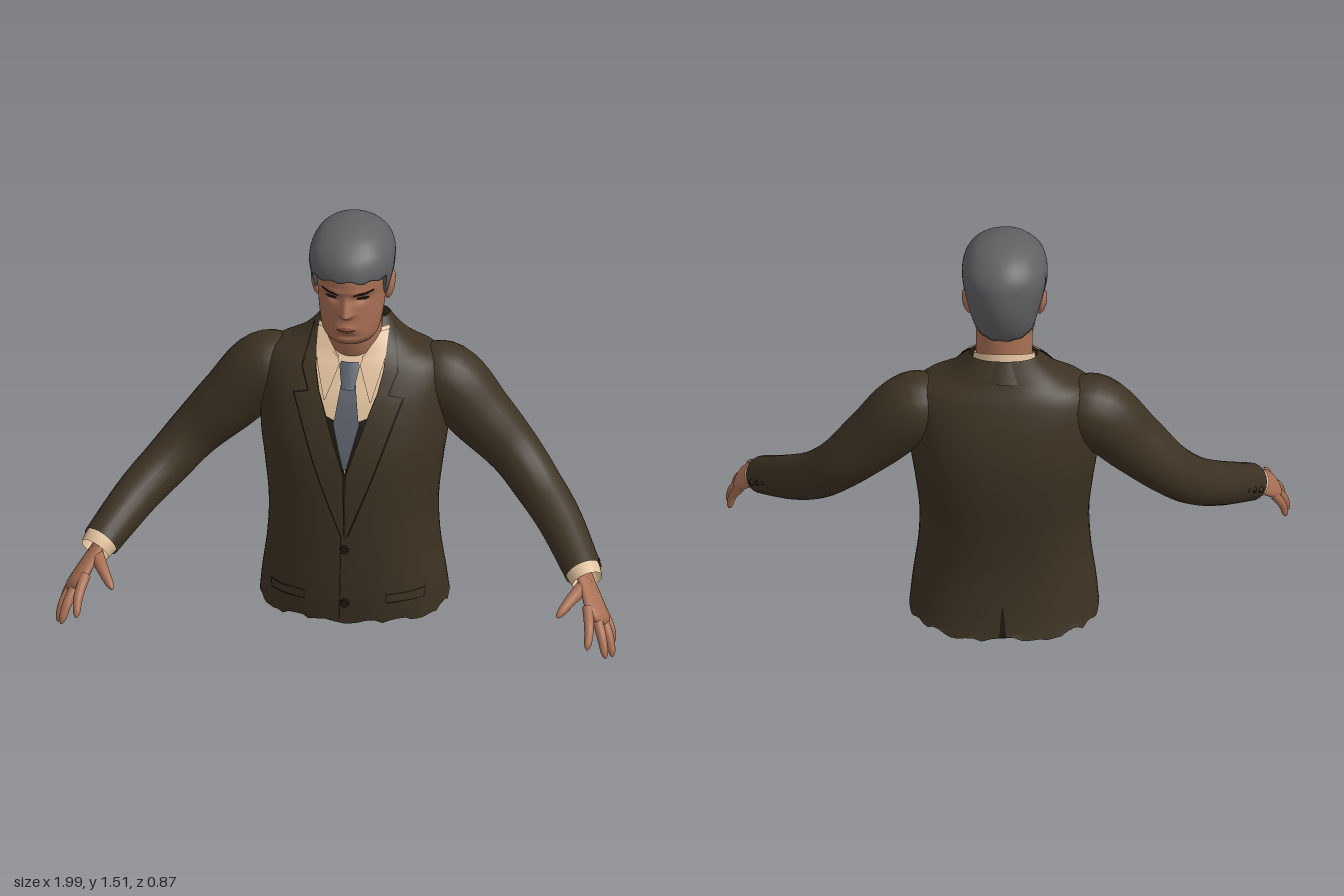
import * as THREE from 'three';

const V = (p) => new THREE.Vector3(...p);
const colour = (name, color, side = THREE.FrontSide) => {
  const m = new THREE.MeshStandardMaterial({ color, side });
  m.name = name;
  return m;
};

// Smooth lookup in rows keyed by their first number
function sample(rows, y) {
  let i = 0;
  while (i < rows.length - 2 && y > rows[i + 1][0]) i++;
  const p = rows[i], q = rows[i + 1], o = rows[Math.max(i - 1, 0)], r = rows[Math.min(i + 2, rows.length - 1)];
  const h = q[0] - p[0], t = THREE.MathUtils.clamp((y - p[0]) / h, 0, 1);
  return p.slice(1).map((_, k) => {
    k++;
    const m0 = (q[k] - o[k]) / (q[0] - o[0]) * h, m1 = (r[k] - p[k]) / (r[0] - p[0]) * h;
    return (2 * t ** 3 - 3 * t * t + 1) * p[k] + (t ** 3 - 2 * t * t + t) * m0
      + (3 * t * t - 2 * t ** 3) * q[k] + (t ** 3 - t * t) * m1;
  });
}
function linear(rows, y) {
  let i = 0;
  while (i < rows.length - 2 && y > rows[i + 1][0]) i++;
  const t = THREE.MathUtils.clamp((y - rows[i][0]) / (rows[i + 1][0] - rows[i][0]), 0, 1);
  return rows[i].slice(1).map((a, k) => a + (rows[i + 1][k + 1] - a) * t);
}

// Surface from a rule fn(u, v); wrap joins the last column to the first
function grid(nu, nv, fn, wrap = false) {
  const pos = [], index = [], n = wrap ? nu : nu + 1;
  for (let j = 0; j <= nv; j++) for (let i = 0; i < n; i++) pos.push(...fn(i / nu, j / nv, j));
  for (let j = 0; j < nv; j++) for (let i = 0; i < nu; i++) {
    const a = j * n + i, b = j * n + (i + 1) % n;
    index.push(a, b, b + n, a, b + n, a + n);
  }
  const g = new THREE.BufferGeometry();
  g.setAttribute('position', new THREE.Float32BufferAttribute(pos, 3));
  g.setIndex(index);
  g.computeVertexNormals();
  return g;
}
function mirrored(geo) {
  const g = geo.clone().scale(-1, 1, 1), a = g.index.array;
  for (let i = 0; i < a.length; i += 3) [a[i], a[i + 1]] = [a[i + 1], a[i]];
  return g;
}

// Horizontal section: rows are [y, half width, front z, back z]
const spow = (s, e) => Math.sign(s) * Math.abs(s) ** e;
function section(rows, y, a, n = 2, k = 1) {
  const [w, f, b] = sample(rows, y), c = (f + b) / 2;
  return [k * w * spow(Math.sin(a), 2 / n), y, c + k * (f - b) / 2 * spow(Math.cos(a), 2 / n)];
}
function surfaceZ(rows, x, y, n, back) {
  const [w, f, b] = sample(rows, y);
  const d = (1 - Math.min(Math.abs(x) / w, 0.98) ** n) ** (1 / n) * (f - b) / 2;
  return (f + b) / 2 + (back ? -d : d);
}
// Thin panel laid on a surface: rows are [y, x start, x end]
function drape(rows, zFn, offset, nv = 30) {
  const y0 = rows[0][0], y1 = rows[rows.length - 1][0];
  return grid(12, nv, (u, v) => {
    const y = y0 + (y1 - y0) * v, [l, r] = linear(rows, y), x = l + (r - l) * u;
    return [x, y, zFn(x, y) + offset];
  });
}
// Tapered tube along a curve, optionally flattened and round ended
function limb(points, radii, { flat = 1, ref = [0, 0, 1], round = false, nv = 24 } = {}) {
  const curve = new THREE.CatmullRomCurve3(points.map(V));
  const rr = radii.map((r, i) => [i / (radii.length - 1), r]);
  return grid(20, nv, (u, v) => {
    const t = round ? Math.sin(v * Math.PI / 2) : v;
    const T = curve.getTangent(t), B = V(ref).addScaledVector(T, -V(ref).dot(T)).normalize();
    const N = T.clone().cross(B), a = u * Math.PI * 2;
    let r = sample(rr, t)[0];
    if (round) r *= Math.sqrt(Math.max(0, 1 - Math.max(0, (t - 0.8) / 0.2) ** 2));
    return curve.getPoint(t).addScaledVector(B, r * Math.cos(a)).addScaledVector(N, r * flat * Math.sin(a)).toArray();
  }, true);
}

const TORSO = [[0, .335, .085, -.435], [.1, .325, .095, -.415], [.25, .305, .1, -.4], [.4, .3, .1, -.405],
  [.55, .315, .095, -.42], [.66, .33, .08, -.425], [.75, .335, .055, -.42], [.85, .335, .015, -.4],
  [.92, .325, -.025, -.375], [.965, .29, -.053, -.355], [1, .215, -.078, -.335], [1.05, .155, -.11, -.31], [1.095, .12, -.16, -.285]];
const NECK = [[.9, .1, -.1, -.26], [1, .1, -.063, -.265], [1.06, .1, -.05, -.26], [1.2, .1, -.04, -.25]];
const HEAD = [[1.05, .06, -.05, -.18], [1.065, .076, -.015, -.2], [1.085, .088, .02, -.21], [1.11, .1, .045, -.22], [1.15, .109, .05, -.23],
  [1.2, .116, .05, -.25], [1.27, .122, .05, -.27], [1.3, .125, .055, -.275], [1.35, .125, .055, -.28], [1.42, .11, .02, -.26], [1.47, .06, -.05, -.2]];
const HAIR = [[1.14, .1, .02, -.24], [1.2, .117, .04, -.28], [1.28, .136, .06, -.305], [1.36, .152, .08, -.312], [1.42, .145, .065, -.303],
  [1.47, .112, .015, -.262], [1.495, .073, -.035, -.215], [1.508, .03, -.085, -.16], [1.51, 0, -.12, -.12]];
const HAIRLINE = [[0, 1.357], [1.05, 1.345], [1.2, 1.28], [1.33, 1.245], [1.45, 1.26], [1.55, 1.315], [1.78, 1.3], [1.95, 1.18], [2.2, 1.165], [3.15, 1.16]];

// Relief of the face: nose, eye sockets, brow and lips
const bell = (x, y, cx, cy, sx, sy) => Math.exp(-(((x - cx) / sx) ** 2) - ((y - cy) / sy) ** 2);
function relief(x, y) {
  const ax = Math.abs(x);
  const nose = y > 1.215 ? Math.max(0, (1.29 - y) / 0.075) : Math.max(0, 1 - (1.215 - y) / 0.022);
  return 0.036 * nose * Math.exp(-((x / (0.012 + 0.011 * nose)) ** 2))
    - 0.014 * bell(ax, y, .048, 1.272, .026, .016) + 0.006 * bell(ax, y, .045, 1.302, .04, .012)
    + 0.011 * bell(x, y, 0, 1.155, .034, .016) - 0.008 * bell(x, y, 0, 1.125, .04, .01);
}
const chestZ = (x, y) => surfaceZ(TORSO, x, y, 2.3);
const backZ = (x, y) => surfaceZ(TORSO, x, y, 2.3, true);
const faceZ = (x, y) => surfaceZ(HEAD, x, y, 2) + relief(x, y);

export function createModel() {
  const root = new THREE.Group();
  root.name = 'suitedBust';
  const D = THREE.DoubleSide;
  const jacket = colour('jacketBrown', 0x3d3223, D), seam = colour('seamDark', 0x1d1710, D), lining = colour('liningBlack', 0x121212, D);
  const shirt = colour('shirtCream', 0xdfbf9c, D), tie = colour('tieGrey', 0x5b606a, D), skin = colour('skin', 0xa86f54);
  const hair = colour('hairGrey', 0x606163, D), dark = colour('browDark', 0x1c1311, D), lip = colour('lip', 0x87503f, D);
  const add = (name, geo, mat) => {
    const m = new THREE.Mesh(geo, mat);
    m.name = name;
    root.add(m);
  };
  const pair = (name, geo, mat) => {
    add(name + 'Left', geo, mat);
    add(name + 'Right', mirrored(geo), mat);
  };
  const TAU = Math.PI * 2;

  // Jacket body with a ragged hem, open below
  add('jacketBody', grid(72, 60, (u, v, j) => {
    const p = section(TORSO, 1.095 * v, u * TAU, 2.3);
    if (j === 0) p[1] = 0.026 * Math.abs(Math.sin(u * 22) * Math.sin(u * 53));
    return p;
  }, true), jacket);
  add('lining', grid(48, 2, (u, v) => section(TORSO, .06, u * TAU, 2.3, .98 * v), true), lining);

  // Shirt front, tie and lapels
  const opening = [[.6, .002], [.8, .075], [.9, .112], [.98, .125], [1.07, .125]];
  add('shirtFront', drape(opening.map(([y, h]) => [y, -h, h]), chestZ, .004), shirt);
  pair('vestShadow', drape([[.6, 0, .002], [.78, .02, .069], [.8, .07, .075]], chestZ, .007), seam);
  add('tieBlade', drape([[.62, -.004, .004], [.78, -.045, .045], [.91, -.026, .026]], chestZ, .012), tie);
  add('tieKnot', drape([[.895, -.022, .022], [.965, -.036, .036], [.98, -.03, .03]],
    (x, y) => chestZ(x, y) + .014 * (1 - (x / .045) ** 2), .01), tie);
  const lapel = [[.36, 0, .01], [.6, .004, .1], [.8, .073, .17], [.868, .098, .196], [.878, .103, .142], [.95, .12, .17], [1.06, .125, .142]];
  pair('lapel', drape(lapel, chestZ, .013, 50), jacket);
  pair('lapelEdge', drape(lapel.map(([y, a, b]) => [y, a - .001, b + .005]), chestZ, .006, 50), seam);
  pair('collarFlap', drape([[.855, .08, .084], [.97, .036, .118], [1.0, .05, .124], [1.065, .1, .126]], chestZ, .014), shirt);

  // Collars around the neck
  const collar = (start, y, rise, drop, k0, k1) => grid(48, 4, (u, v) => {
    const a = start + u * (TAU - 2 * start), k = k1 + (k0 - k1) * v;
    return [.1 * k * Math.sin(a), y - rise * Math.cos(a) - drop * (1 - v), -.16 + .105 * k * Math.cos(a)];
  });
  add('shirtCollar', collar(.4, 1.055, .062, .075, 1.07, 1.24), shirt);
  add('jacketCollar', collar(1.15, 1.05, .045, .07, 1.22, 1.62), jacket);

  // Front seam, buttons, pocket flaps and back vent
  add('frontSeam', drape([[.02, -.022, -.017], [.36, -.014, -.009], [.6, -.003, .003]], chestZ, .003), seam);
  for (const y of [.305, .09]) {
    add('button', new THREE.CylinderGeometry(.015, .017, .012, 16).rotateX(Math.PI / 2).translate(0, y, chestZ(0, y) + .004), seam);
  }
  pair('pocketEdge', drape([[.088, .145, .272], [.127, .145, .277]], chestZ, .004, 4), seam);
  pair('pocketFlap', drape([[.094, .148, .269], [.124, .148, .274]], chestZ, .009, 4), jacket);
  add('backVent', drape([[.02, .012, -.014], [.14, .002, -.002]], backZ, -.004), seam);

  // Sleeves, cuffs and cuff buttons
  pair('sleeve', limb([[.2, .87, -.21], [.31, .855, -.215], [.45, .715, -.2], [.57, .59, -.18], [.66, .495, -.12], [.75, .415, -.02], [.86, .305, .155]],
    [.085, .128, .115, .095, .087, .08, .068], { nv: 40 }), jacket);
  pair('cuff', limb([[.84, .325, .125], [.86, .305, .155], [.877, .285, .182]], [.06, .062, .056]), shirt);
  for (let i = 0; i < 3; i++) {
    pair('cuffButton', new THREE.SphereGeometry(.012, 10, 8).translate(.898 - i * .023, .318 + i * .024, .085 - i * .035), seam);
  }

  // Hands
  const across = [-.05, .05, .1];
  pair('palm', limb([[.85, .315, .14], [.878, .28, .19], [.905, .243, .24], [.925, .215, .28], [.948, .188, .318]],
    [.046, .048, .056, .06, .055], { flat: .42, ref: across, round: true }), skin);
  const fingers = [
    [[.895, .245, .305], [.91, .195, .38], [.91, .14, .43]],
    [[.92, .22, .29], [.952, .155, .355], [.97, .09, .39]],
    [[.935, .205, .265], [.972, .135, .31], [.988, .07, .335]],
    [[.94, .2, .235], [.972, .14, .255], [.982, .09, .262]],
  ];
  fingers.forEach((p, i) => pair('finger', limb(p, i < 3 ? [.019, .017, .012] : [.017, .014, .01], { ref: across, round: true }), skin));
  pair('thumb', limb([[.875, .28, .19], [.835, .262, .285], [.792, .222, .355]], [.028, .021, .013], { ref: across, round: true }), skin);

  // Neck, head and ears
  add('neck', grid(40, 12, (u, v) => section(NECK, .9 + .3 * v, u * TAU), true), skin);
  add('head', grid(120, 84, (u, v, j) => {
    const p = section(HEAD, 1.05 + .42 * v, u * TAU, 2, j ? 1 : .05);
    if (Math.cos(u * TAU) > 0) p[2] += relief(p[0], p[1]) * Math.min(1, Math.cos(u * TAU) * 3);
    return p;
  }, true), skin);
  pair('ear', new THREE.SphereGeometry(1, 20, 14).scale(.018, .055, .032).rotateX(-.2).rotateZ(-.15).translate(.131, 1.255, -.135), skin);

  // Face details
  pair('eyebrow', drape([[1.291, .03, .06], [1.297, .024, .096], [1.305, .045, .092]], faceZ, .003, 6), dark);
  pair('eye', drape([[1.267, .044, .068], [1.274, .032, .08], [1.281, .042, .072]], faceZ, .003, 6), dark);
  add('lips', drape([[1.143, -.016, .016], [1.156, -.036, .036], [1.167, -.014, .014]], faceZ, .002, 8), lip);
  add('mouthLine', drape([[1.154, -.034, .034], [1.1575, -.034, .034]], faceZ, .004, 2), dark);

  // Hair shell with its hairline, tucked in along the edge
  add('hair', grid(120, 32, (u, v, j) => {
    const a = u * TAU, side = Math.min(a, TAU - a);
    const edge = linear(HAIRLINE, side)[0] + .005 * Math.sin(13 * a);
    const y = edge + (1.51 - edge) * Math.sin(Math.max(0, v - 1 / 32) / (31 / 32) * Math.PI / 2);
    const lump = 1 + .012 * Math.sin(5 * a + 9 * y) * Math.sin(20 * y + 2 * Math.sin(a));
    const p = section(HAIR, y, a, 2.1, j ? lump : .86);
    if (!j) p[1] += .008;
    return p;
  }, true), hair);
  return root;
}
